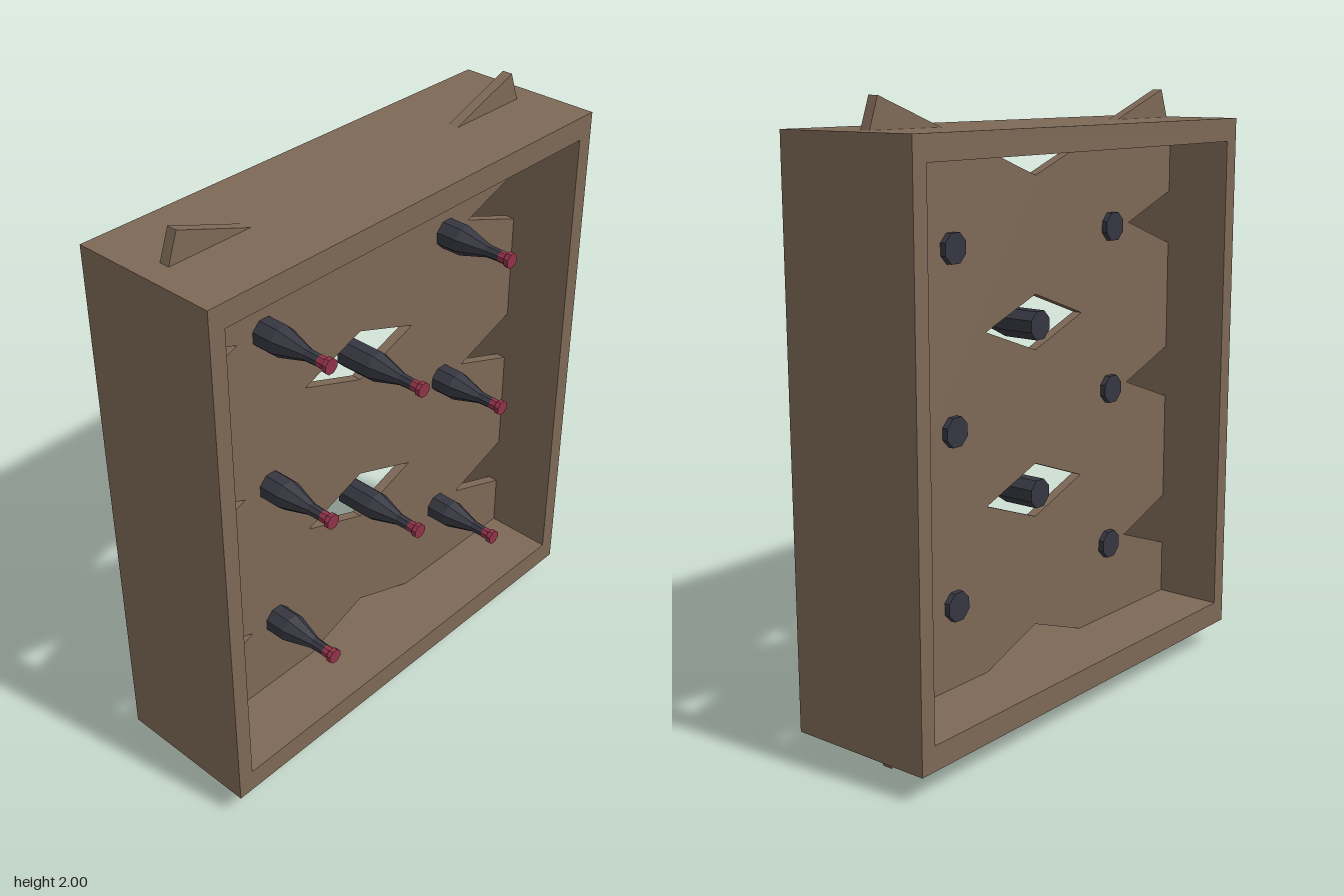
import * as THREE from 'three';

const wood = new THREE.MeshStandardMaterial({ name: 'brown wood', color: 0x7d6856, flatShading: true });
const glass = new THREE.MeshStandardMaterial({ name: 'dark glass', color: 0x353640, flatShading: true });
const foil = new THREE.MeshStandardMaterial({ name: 'red foil', color: 0x8f3247, flatShading: true });

const MID = 1.0025; // height of the rack's centre
const STEP = 0.556; // vertical pitch of the lattice

function polygon(points, Type = THREE.Shape) {
  return new Type(points.map(([x, y]) => new THREE.Vector2(x, y)));
}

function rect(w, bottom, top) {
  return [[-w, bottom], [w, bottom], [w, top], [-w, top]];
}

function extrude(name, shape, z0, z1) {
  const geo = new THREE.ExtrudeGeometry(shape, { depth: z1 - z0, bevelEnabled: false });
  geo.translate(0, 0, z0);
  const mesh = new THREE.Mesh(geo, wood);
  mesh.name = name;
  return mesh;
}

// Open box around the lattice
function makeFrame() {
  const shape = polygon(rect(0.815, 0.09, 1.905));
  shape.holes.push(polygon(rect(0.76, 0.17, 1.828), THREE.Path));
  return extrude('frame', shape, -0.265, 0.238);
}

// Crossed planks as one board: notched sides, diamond gaps, tips through the frame
function makeLattice() {
  const right = [[0.7, 2], [0.79, 1.755]];
  for (const i of [1, 0, -1]) {
    const y = MID + i * STEP;
    right.push([0.79, y + 0.102], [0.513, y], [0.79, y - 0.102]);
  }
  right.push([0.79, 0.25], [0.7, 0.005]);
  const left = right.map(([x, y]) => [-x, y]).reverse();
  const shape = polygon([[0, 1.745], ...right, [0, 0.26], ...left]);
  for (const s of [1, -1]) {
    const y = MID + s * STEP / 2;
    shape.holes.push(polygon([[-0.246, y], [0, y - 0.09], [0.246, y], [0, y + 0.09]], THREE.Path));
  }
  return extrude('lattice', shape, -0.033, 0.002);
}

// Eight-sided lathe lying along z
function turned(name, profile, material) {
  const geo = new THREE.LatheGeometry(profile.map(([r, z]) => new THREE.Vector2(r, z)), 8, Math.PI / 8);
  geo.rotateX(Math.PI / 2);
  const mesh = new THREE.Mesh(geo, material);
  mesh.name = name;
  return mesh;
}

function makeBottle(x, y) {
  const bottle = new THREE.Group();
  bottle.name = 'bottle';
  bottle.add(
    turned('bottleBody', [[0, -0.053], [0.05, -0.053], [0.05, 0.075], [0.021, 0.175], [0.019, 0.23]], glass),
    turned('bottleCap', [[0.02, 0.225], [0.02, 0.248], [0.026, 0.252], [0.026, 0.268], [0, 0.268]], foil)
  );
  bottle.position.set(x, y, 0);
  return bottle;
}

export function createModel() {
  const rack = new THREE.Group();
  rack.name = 'bottleRack';
  rack.add(makeFrame(), makeLattice());
  // Bottles: three down each side, two resting in the diamonds
  for (const i of [-1, 0, 1]) {
    for (const x of [-0.405, 0.405]) rack.add(makeBottle(x, 0.998 + i * STEP));
  }
  for (const y of [0.716, 1.272]) rack.add(makeBottle(0, y));
  return rack;
}
